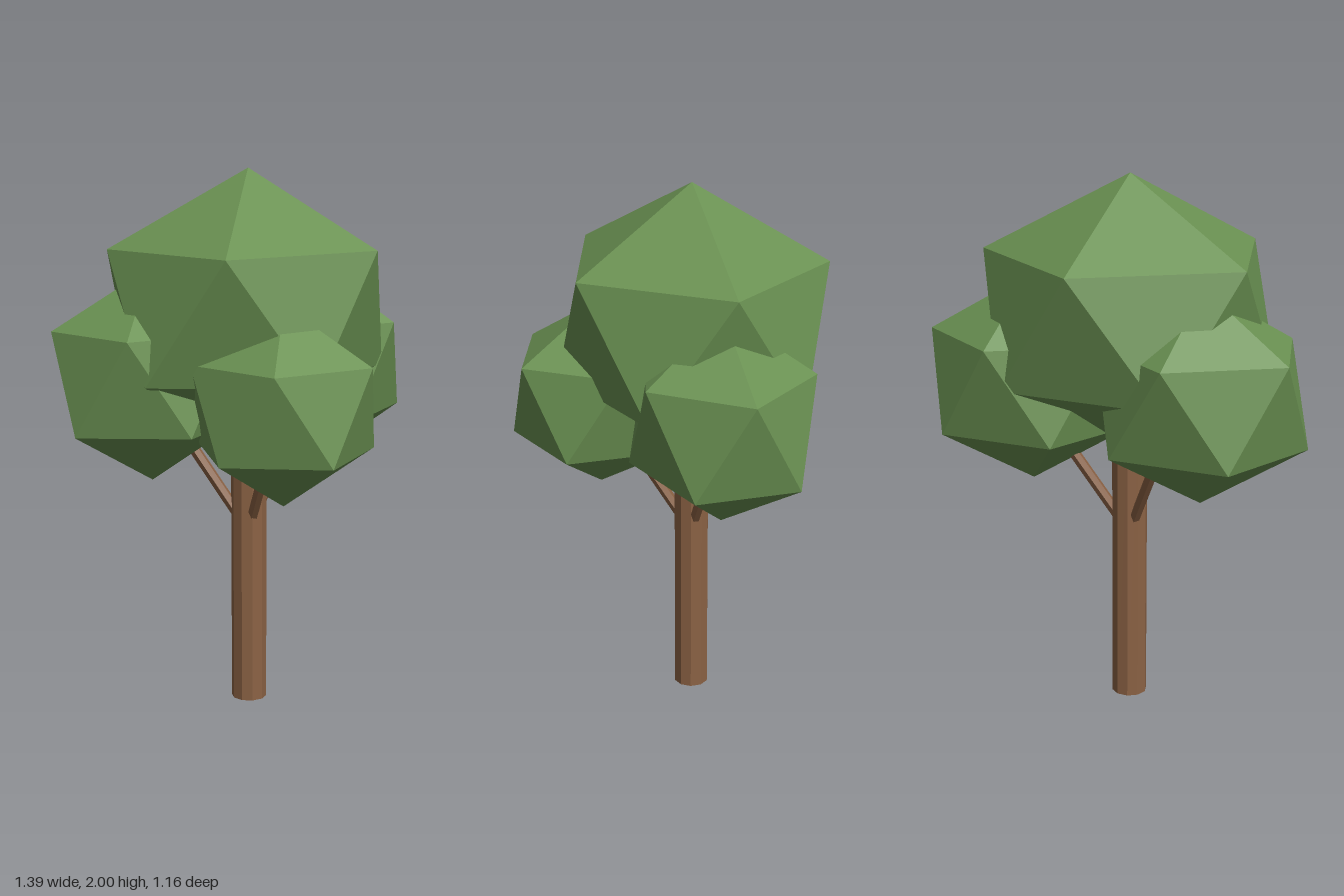
import * as THREE from 'three';

const AXIS = -0.04; // trunk axis in x and z

export function createModel() {
  const tree = new THREE.Group();
  tree.name = 'tree';
  const bark = new THREE.MeshStandardMaterial({ color: 0x8b6244, flatShading: true });
  const leaf = new THREE.MeshStandardMaterial({ color: 0x6a9152, flatShading: true });

  const add = (name, geometry, material) => {
    const mesh = new THREE.Mesh(geometry, material);
    mesh.name = name;
    tree.add(mesh);
    return mesh;
  };

  // Trunk: straight ten-sided post running into the crown
  add('trunk', new THREE.CylinderGeometry(0.066, 0.066, 1.1, 10), bark).position.set(AXIS, 0.55, AXIS);

  // Three slanted branches, evenly spaced around the trunk
  const up = new THREE.Vector3(0, 1, 0);
  for (let i = 0; i < 3; i++) {
    const a = (i * Math.PI * 2) / 3;
    const start = new THREE.Vector3(AXIS, 0.655, AXIS);
    const reach = new THREE.Vector3(0.24 * Math.cos(a), 0.35, 0.24 * Math.sin(a));
    const branch = add('branch' + (i + 1), new THREE.CylinderGeometry(0.021, 0.021, reach.length(), 6), bark);
    branch.position.copy(start).addScaledVector(reach, 0.5);
    branch.quaternion.setFromUnitVectors(up, reach.clone().normalize());
  }

  // Foliage: stretched icosahedra standing on a corner, upper ring corner towards +x
  const clump = (name, centre, radii) => {
    const g = new THREE.IcosahedronGeometry(1, 0);
    g.rotateX(-Math.atan((1 + Math.sqrt(5)) / 2));
    g.rotateY(Math.PI / 2);
    g.scale(...radii);
    add(name, g, leaf).position.set(...centre);
  };
  clump('crown', [AXIS, 1.495, AXIS], [0.593, 0.505, 0.545]);
  clump('leftFoliage', [0.32, 1.245, AXIS], [0.414, 0.39, 0.36]);
  clump('frontFoliage', [-0.2, 1.19, 0.27], [0.372, 0.358, 0.365]);
  clump('backFoliage', [-0.32, 1.256, -0.265], [0.419, 0.391, 0.371]);

  return tree;
}
